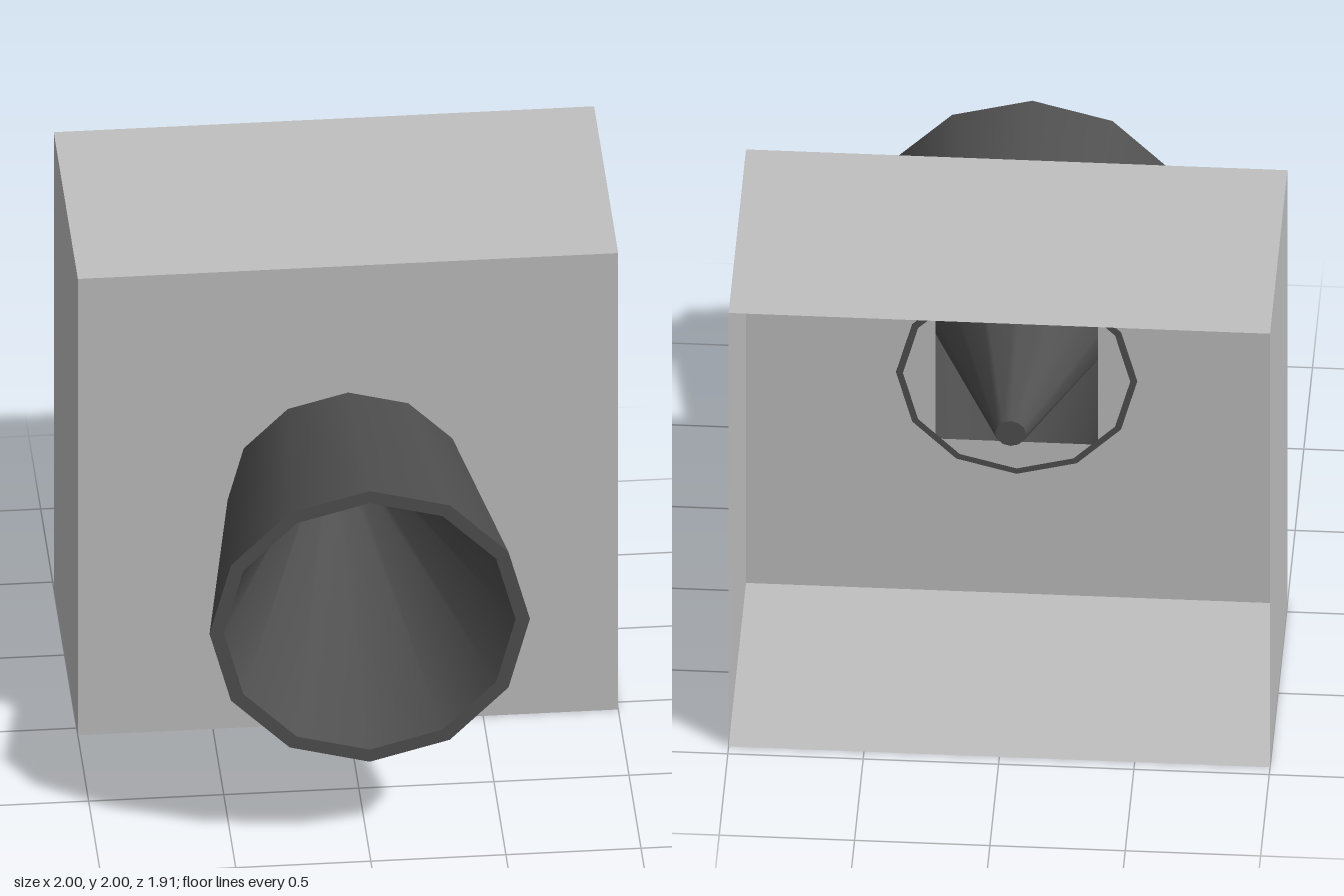
import * as THREE from 'three';

const FRONT = 0.955, WALL = 0.05, BACK = -0.955;

export function createModel() {
  const model = new THREE.Group();
  const housingGrey = new THREE.MeshStandardMaterial({ color: 0xc0c0c0, side: THREE.DoubleSide });
  housingGrey.name = 'light grey';
  const hornGrey = new THREE.MeshStandardMaterial({ color: 0x505050, side: THREE.DoubleSide });
  hornGrey.name = 'dark grey';

  const add = (parent, name, geometry, material) => {
    const mesh = new THREE.Mesh(geometry, material);
    mesh.name = name;
    parent.add(mesh);
    return mesh;
  };

  // Housing: thin-walled box, open at the back
  const housing = new THREE.Group();
  housing.name = 'housing';
  housing.position.y = 1;
  model.add(housing);

  // Front panel with a square opening behind the horn
  const square = (Type, h) => new Type([[-h, -h], [h, -h], [h, h], [-h, h]].map(([x, y]) => new THREE.Vector2(x, y)));
  const panel = square(THREE.Shape, 1);
  panel.holes.push(square(THREE.Path, 0.3));
  add(housing, 'frontPanel', new THREE.ShapeGeometry(panel), housingGrey).position.z = WALL;

  // Four side walls, turned around the z axis
  ['topWall', 'leftWall', 'bottomWall', 'rightWall'].forEach((name, i) => {
    const wall = new THREE.PlaneGeometry(2, WALL - BACK);
    wall.rotateX(-Math.PI / 2);
    wall.translate(0, 1, (WALL + BACK) / 2);
    wall.rotateZ(-i * Math.PI / 2);
    add(housing, name, wall, housingGrey);
  });

  // Horn: twelve-sided shell, each section [radius, z] kept separate for sharp edges
  const horn = new THREE.Group();
  horn.name = 'horn';
  horn.position.y = 1;
  model.add(horn);

  const hornBack = WALL - 0.005;
  const section = (name, ...points) => {
    const profile = points.map(([r, z]) => new THREE.Vector2(r, z));
    add(horn, name, new THREE.LatheGeometry(profile, 12).rotateX(Math.PI / 2), hornGrey);
  };
  section('hornBackRing', [0.42, hornBack], [0.445, hornBack]);
  section('hornOuterWall', [0.445, hornBack], [0.593, FRONT]);
  section('hornRim', [0.593, FRONT], [0.54, FRONT]);
  section('hornCone', [0.54, FRONT], [0.057, -0.3]);
  section('hornTipCap', [0.057, -0.3], [0, -0.3]);

  return model;
}
